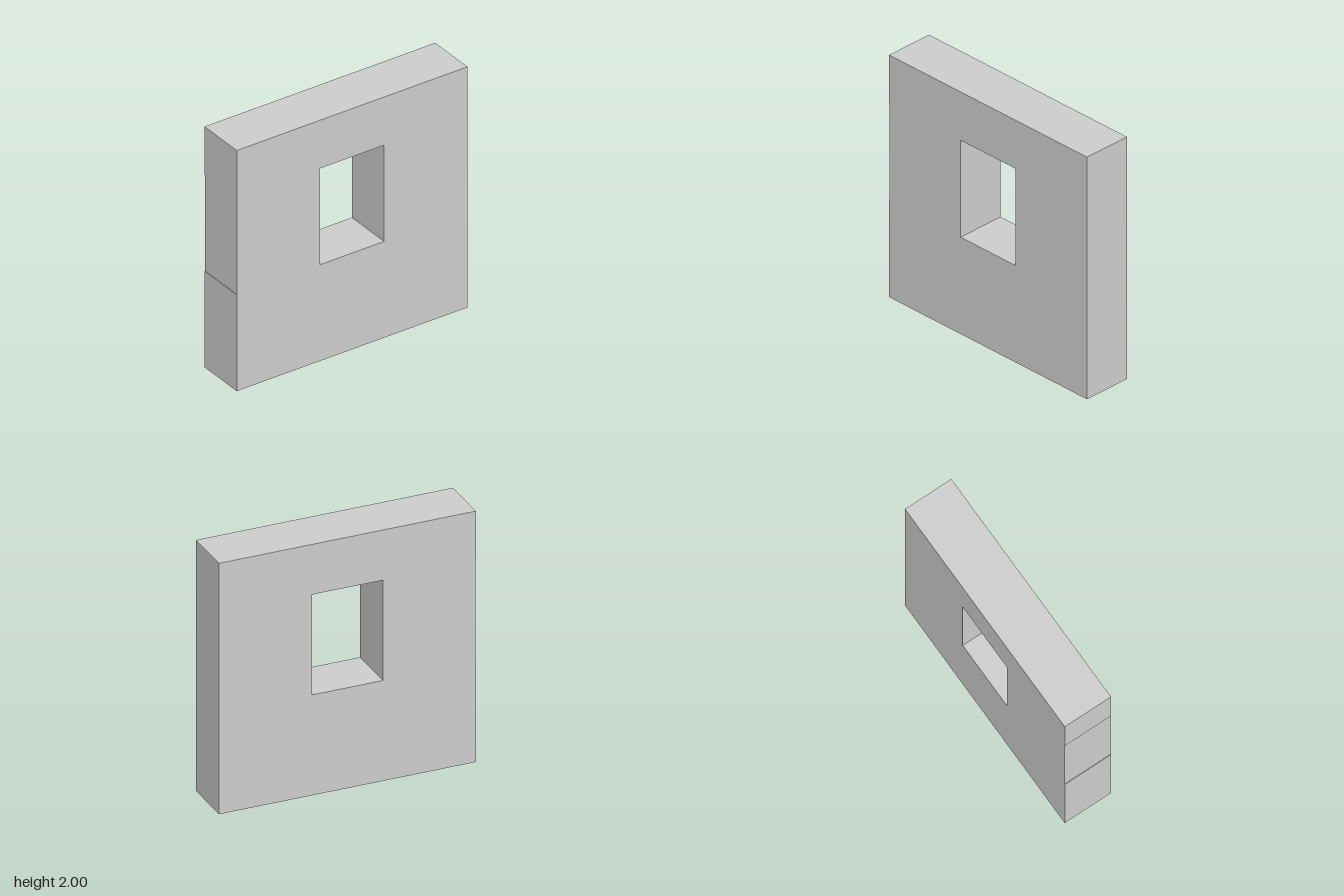
import * as THREE from 'three';

const DEPTH = 0.4;
const SILL = 0.8, LINTEL = 1.6; // window bottom and top
const HALF_WINDOW = 0.277;
const RECESS = 0.004; // the pier on the right end sits back very slightly

const points = (list) => list.map(([x, y]) => new THREE.Vector2(x, y));

export function createModel() {
  const group = new THREE.Group();
  group.name = 'windowWall';

  // Wall outline, with the shallow step beside the window
  const outline = new THREE.Shape(points([
    [-1, 0], [1, 0], [1, 2], [-1, 2],
    [-1, LINTEL], [-1 + RECESS, LINTEL], [-1 + RECESS, SILL], [-1, SILL],
  ]));

  // Window opening
  outline.holes.push(new THREE.Path(points([
    [-HALF_WINDOW, SILL], [-HALF_WINDOW, LINTEL],
    [HALF_WINDOW, LINTEL], [HALF_WINDOW, SILL],
  ])));

  const geometry = new THREE.ExtrudeGeometry(outline, { depth: DEPTH, bevelEnabled: false });
  geometry.translate(0, 0, -DEPTH / 2);

  const wall = new THREE.Mesh(
    geometry,
    new THREE.MeshStandardMaterial({ color: 0xcccccc, flatShading: true })
  );
  wall.name = 'wall';
  group.add(wall);
  return group;
}
